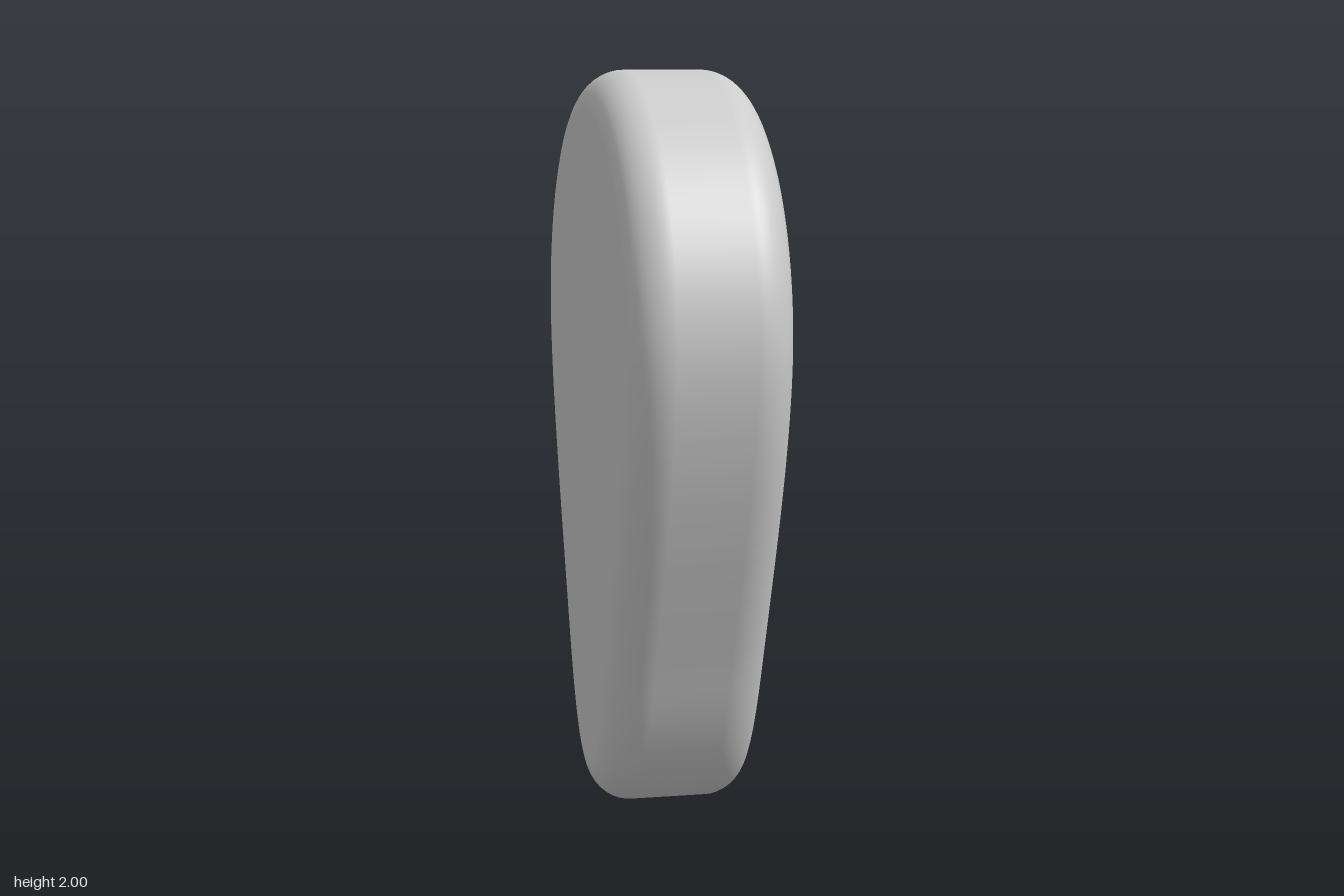
import * as THREE from 'three';

const HALF_WIDTH = 0.212, ROUND = 0.11, AROUND = 160, STEPS = 10;

// Teardrop outline: x holds z, y holds height; clockwise from the top
function makeOutline() {
  const s = new THREE.Path();
  s.moveTo(0, 2);
  s.bezierCurveTo(0.384, 2, 0.695, 1.7, 0.695, 1.33);
  s.bezierCurveTo(0.695, 1.07, 0.52, 0.71, 0.39, 0.4);
  s.bezierCurveTo(0.298, 0.18, 0.19, 0, 0, 0);
  s.bezierCurveTo(-0.19, 0, -0.298, 0.18, -0.39, 0.4);
  s.bezierCurveTo(-0.52, 0.71, -0.695, 1.07, -0.695, 1.33);
  s.bezierCurveTo(-0.695, 1.7, -0.384, 2, 0, 2);
  return s;
}

function makeBody() {
  // Rounded edge profile from the +x face to the -x face
  const profile = [];
  for (const side of [1, -1]) {
    for (let k = 0; k <= STEPS; k++) {
      const a = (side > 0 ? k : STEPS - k) / STEPS * Math.PI / 2;
      profile.push({
        x: side * (HALF_WIDTH - ROUND + ROUND * Math.cos(a)),
        inset: ROUND * (1 - Math.sin(a)),
        nx: side * Math.cos(a), nOut: Math.sin(a),
      });
    }
  }
  const rows = profile.length, outline = makeOutline();
  const pos = [], nor = [], idx = [];

  // Sweep the profile around the outline
  for (let i = 0; i < AROUND; i++) {
    const p = outline.getPointAt(i / AROUND), t = outline.getTangentAt(i / AROUND);
    const oz = -t.y, oy = t.x;
    for (const q of profile) {
      pos.push(q.x, p.y - oy * q.inset, p.x - oz * q.inset);
      nor.push(q.nx, oy * q.nOut, oz * q.nOut);
    }
  }
  // Centres of the two flat faces
  const centre = AROUND * rows;
  pos.push(HALF_WIDTH, 1.2, 0, -HALF_WIDTH, 1.2, 0);
  nor.push(1, 0, 0, -1, 0, 0);

  for (let i = 0; i < AROUND; i++) {
    const a = i * rows, b = ((i + 1) % AROUND) * rows;
    for (let j = 0; j < rows - 1; j++) {
      idx.push(a + j, a + j + 1, b + j, b + j, a + j + 1, b + j + 1);
    }
    idx.push(centre, a, b, centre + 1, b + rows - 1, a + rows - 1);
  }
  const g = new THREE.BufferGeometry();
  g.setAttribute('position', new THREE.Float32BufferAttribute(pos, 3));
  g.setAttribute('normal', new THREE.Float32BufferAttribute(nor, 3));
  g.setIndex(idx);
  return g;
}

export function createModel() {
  const group = new THREE.Group();
  const body = new THREE.Mesh(makeBody(), new THREE.MeshStandardMaterial({ color: 0xcccccc }));
  body.name = 'teardropBody';
  group.add(body);
  return group;
}
